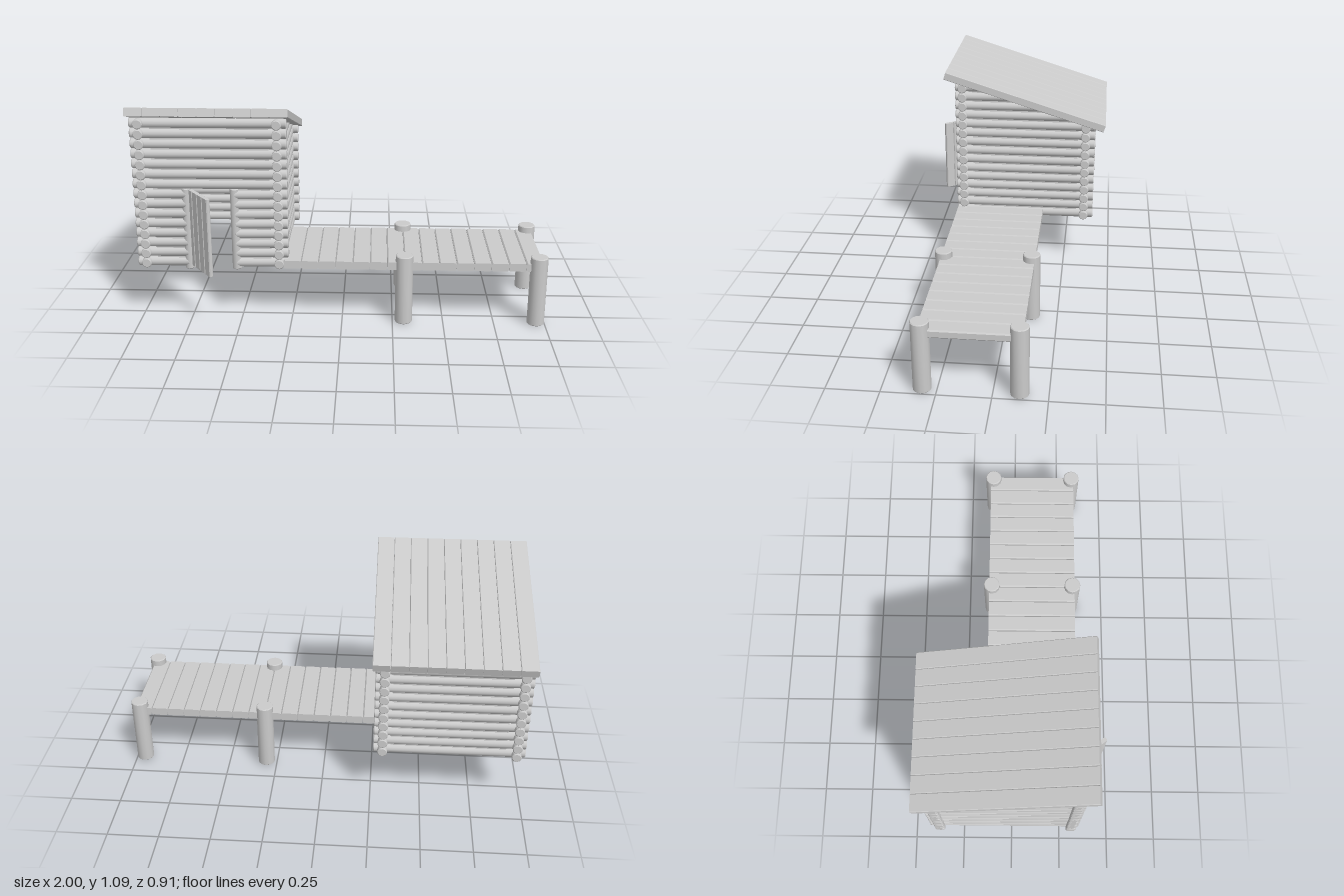
import * as THREE from 'three';
import { toCreasedNormals } from 'three/addons/utils/BufferGeometryUtils.js';

const material = new THREE.MeshStandardMaterial({ color: 0xcccccc });

function addMesh(parent, name, geometry, x, y, z) {
  const mesh = new THREE.Mesh(geometry, material);
  mesh.name = name;
  mesh.position.set(x, y, z);
  parent.add(mesh);
  return mesh;
}

function addGroup(parent, name) {
  const group = new THREE.Group();
  group.name = name;
  parent.add(group);
  return group;
}

// Round timber standing along y, with slightly chamfered ends
function logGeometry(radius, length, sides = 12) {
  const c = 0.004, h = length / 2;
  const profile = [[0, -h], [radius - c, -h], [radius, -h + c], [radius, h - c], [radius - c, h], [0, h]]
    .map(([r, y]) => new THREE.Vector2(r, y));
  return toCreasedNormals(new THREE.LatheGeometry(profile, sides), 0.6);
}

// Board with chamfered long edges, lying along z
function plankGeometry(width, thickness, length, c = 0.004) {
  const w = width / 2, t = thickness / 2;
  const outline = [[-w + c, -t], [w - c, -t], [w, -t + c], [w, t - c], [w - c, t], [-w + c, t], [-w, t - c], [-w, -t + c]];
  const shape = new THREE.Shape(outline.map(([x, y]) => new THREE.Vector2(x, y)));
  return new THREE.ExtrudeGeometry(shape, { depth: length, bevelEnabled: false }).translate(0, 0, -length / 2);
}

const LOG_R = 0.0245, PITCH = 0.05, FIRST = 0.3;
const FRONT_Z = 0.295, BACK_Z = -0.355, SIDE_X = [-0.955, -0.305];
const ROOF_SLOPE = 0.314;
const roofUnderside = z => 1.055 - (0.395 - z) * ROOF_SLOPE;

function logAlongX(parent, x0, x1, y, z) {
  addMesh(parent, 'wallLog', logGeometry(LOG_R, x1 - x0).rotateZ(Math.PI / 2), (x0 + x1) / 2, y, z);
}

function logAlongZ(parent, z0, z1, x, y) {
  addMesh(parent, 'wallLog', logGeometry(LOG_R, z1 - z0).rotateX(Math.PI / 2), x, y, (z0 + z1) / 2);
}

// Narrow filler between two stacked logs
function chinkAlongX(parent, x0, x1, y, z) {
  addMesh(parent, 'chinking', new THREE.BoxGeometry(x1 - x0, 0.014, 0.022), (x0 + x1) / 2, y, z);
}

function chinkAlongZ(parent, z0, z1, x, y) {
  addMesh(parent, 'chinking', new THREE.BoxGeometry(0.022, 0.014, z1 - z0), x, y, (z0 + z1) / 2);
}

function buildWalls(cabin) {
  const front = addGroup(cabin, 'frontWall');
  const back = addGroup(cabin, 'backWall');
  const sides = addGroup(cabin, 'sideWalls');
  for (let i = 0; i < 15; i++) {
    const y = FIRST + i * PITCH, gapY = y + PITCH / 2;

    // Front wall, split around the doorway on the lower rows
    const spans = i < 8 ? [[-1, -0.745], [-0.518, -0.26]] : [[-1, -0.26]];
    for (const [a, b] of spans) {
      logAlongX(front, a, b, y, FRONT_Z);
      if (i < 14) chinkAlongX(front, Math.max(a, -0.905), Math.min(b, -0.345), gapY, FRONT_Z);
    }

    // Lower back wall
    if (i < 11) logAlongX(back, -1, -0.26, y, BACK_Z);
    if (i < 10) chinkAlongX(back, -0.905, -0.345, gapY, BACK_Z);

    // Side walls, shortened under the sloping roof
    const cut = z => (z - 1.055) / ROOF_SLOPE + 0.395;
    const end = i < 11 ? -0.405 : cut(y - 0.013);
    const chinkEnd = Math.max(-0.315, cut(gapY));
    for (const x of SIDE_X) {
      logAlongZ(sides, end, 0.335, x, y);
      if (chinkEnd < 0.24) chinkAlongZ(sides, chinkEnd, 0.245, x, gapY);
    }
  }
}

function buildDoor(cabin) {
  // Round jambs on both sides of the doorway
  for (const x of [-0.748, -0.515]) {
    addMesh(cabin, 'doorJamb', logGeometry(0.0235, 0.415), x, 0.4725, FRONT_Z);
  }
  // Plank door standing open
  const door = addGroup(cabin, 'door');
  door.position.set(-0.738, 0.478, 0.29);
  door.rotation.y = -Math.atan2(0.157, 0.12);
  const width = 0.2, count = 4, step = width / count;
  for (let i = 0; i < count; i++) {
    addMesh(door, 'doorPlank', plankGeometry(step - 0.001, 0.02, 0.39).rotateX(Math.PI / 2), (i + 0.5) * step, 0, 0);
  }
}

function buildRoof(cabin) {
  const roof = addGroup(cabin, 'roof');
  const angle = Math.atan(ROOF_SLOPE);
  roof.position.set(0, roofUnderside(-0.035) + 0.021, -0.035);
  roof.rotation.x = -angle;
  const step = 0.755 / 9;
  for (let i = 0; i < 9; i++) {
    addMesh(roof, 'roofPlank', plankGeometry(step - 0.001, 0.04, 0.875, 0.003), -1 + (i + 0.5) * step, 0, 0);
  }
}

function buildDock(model) {
  const dock = addGroup(model, 'dock');
  const start = -0.285, step = (0.98 - start) / 15;
  for (let i = 0; i < 15; i++) {
    addMesh(dock, 'deckPlank', plankGeometry(step - 0.001, 0.04, 0.465, 0.006), start + (i + 0.5) * step, 0.3, 0.098);
  }
  // Round posts at the middle and the far end
  for (const x of [0.305, 0.957]) {
    for (const z of [0.317, -0.12]) {
      addMesh(dock, 'dockPost', logGeometry(0.043, 0.354), x, 0.177, z);
    }
  }
}

export function createModel() {
  const model = new THREE.Group();
  model.name = 'cabinWithDock';
  const cabin = addGroup(model, 'cabin');
  buildWalls(cabin);
  buildDoor(cabin);
  buildRoof(cabin);
  buildDock(model);
  return model;
}
